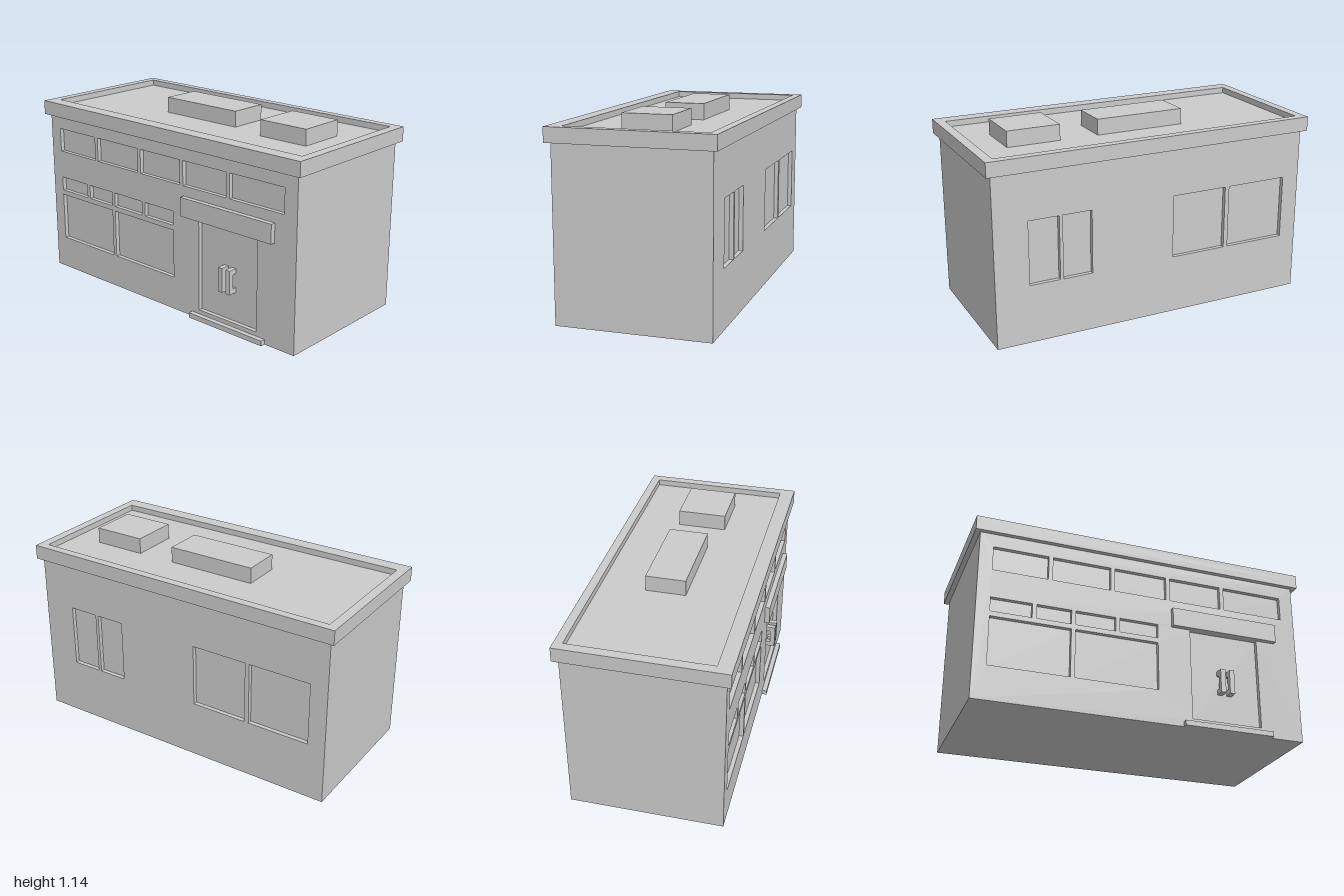
import * as THREE from 'three';

const material = new THREE.MeshStandardMaterial({ color: 0xcccccc });
const HALF_X = 0.97, HALF_Z = 0.443, WALL = 0.05, RECESS = 0.025;

// Box given by its limits on each axis
function box(parent, name, [x0, x1], [y0, y1], [z0, z1]) {
  const mesh = new THREE.Mesh(new THREE.BoxGeometry(x1 - x0, y1 - y0, z1 - z0), material);
  mesh.position.set((x0 + x1) / 2, (y0 + y1) / 2, (z0 + z1) / 2);
  mesh.name = name;
  parent.add(mesh);
  return mesh;
}

function trace(path, [x0, x1], [y0, y1]) {
  path.moveTo(x0, y0).lineTo(x1, y0).lineTo(x1, y1).lineTo(x0, y1).closePath();
  return path;
}

// Rectangular plate with rectangular holes, extruded along z
function plate(name, xs, ys, depth, holes) {
  const shape = trace(new THREE.Shape(), xs, ys);
  for (const h of holes) shape.holes.push(trace(new THREE.Path(), h.xs, h.ys));
  const mesh = new THREE.Mesh(new THREE.ExtrudeGeometry(shape, { depth, bevelEnabled: false }), material);
  mesh.name = name;
  return mesh;
}

// Wall with openings, each closed by a set-back panel; outer face looks to +z
function facade(name, openings) {
  const group = new THREE.Group();
  group.name = name;
  const wall = plate(name + 'Wall', [-HALF_X, HALF_X], [0, 1], WALL, openings);
  wall.position.z = HALF_Z - WALL;
  group.add(wall);
  for (const o of openings) box(group, o.name, o.xs, o.ys, [HALF_Z - WALL, HALF_Z - RECESS]);
  return group;
}

const windowRow = (name, ys, spans) => spans.map((xs) => ({ name, xs, ys }));

export function createModel() {
  const model = new THREE.Group();
  model.name = 'building';

  // Walls
  box(model, 'buildingCore', [-HALF_X, HALF_X], [0, 1], [-HALF_Z + WALL, HALF_Z - WALL]);
  model.add(facade('front', [
    ...windowRow('upperWindow', [0.775, 0.92],
      [[-0.89, -0.57], [-0.545, -0.2], [-0.175, 0.14], [0.165, 0.485], [0.51, 0.885]]),
    ...windowRow('transomWindow', [0.52, 0.605],
      [[-0.89, -0.655], [-0.63, -0.43], [-0.405, -0.17], [-0.145, 0.085]]),
    ...windowRow('shopWindow', [0.2, 0.49], [[-0.89, -0.43], [-0.405, 0.085]]),
    { name: 'door', xs: [0.285, 0.71], ys: [0.055, 0.603] },
  ]));
  // Spans run in the wall's own frame, turned half around
  const back = facade('back', windowRow('backWindow', [0.345, 0.72],
    [[-0.77, -0.59], [-0.57, -0.395], [0.117, 0.46], [0.487, 0.864]]));
  back.rotation.y = Math.PI;
  model.add(back);

  // Entrance: canopy, step and pull handles on stand-offs
  box(model, 'canopy', [0.17, 0.825], [0.603, 0.715], [HALF_Z, 0.472]);
  box(model, 'doorStep', [0.23, 0.77], [0, 0.03], [HALF_Z, 0.472]);
  for (const x of [0.455, 0.51]) {
    const handle = new THREE.Group();
    handle.name = 'doorHandle';
    box(handle, 'handleBar', [x, x + 0.03], [0.23, 0.373], [HALF_Z, 0.472]);
    for (const y of [0.23, 0.343])
      box(handle, 'handleMount', [x, x + 0.03], [y, y + 0.03], [HALF_Z - RECESS, HALF_Z]);
    model.add(handle);
  }

  // Roof slab with a raised parapet, deeper at the front
  box(model, 'roofSlab', [-1, 1], [1, 1.05], [-0.47, 0.47]);
  const parapet = plate('parapet', [-1, 1], [-0.47, 0.47], 0.035,
    [{ xs: [-0.945, 0.945], ys: [-0.385, 0.42] }]);
  parapet.rotation.x = -Math.PI / 2;
  parapet.position.y = 1.05;
  model.add(parapet);

  // Rooftop equipment
  box(model, 'longRoofUnit', [-0.315, 0.225], [1.05, 1.143], [-0.16, 0.07]);
  box(model, 'squareRoofUnit', [0.455, 0.77], [1.05, 1.143], [-0.16, 0.125]);

  return model;
}
